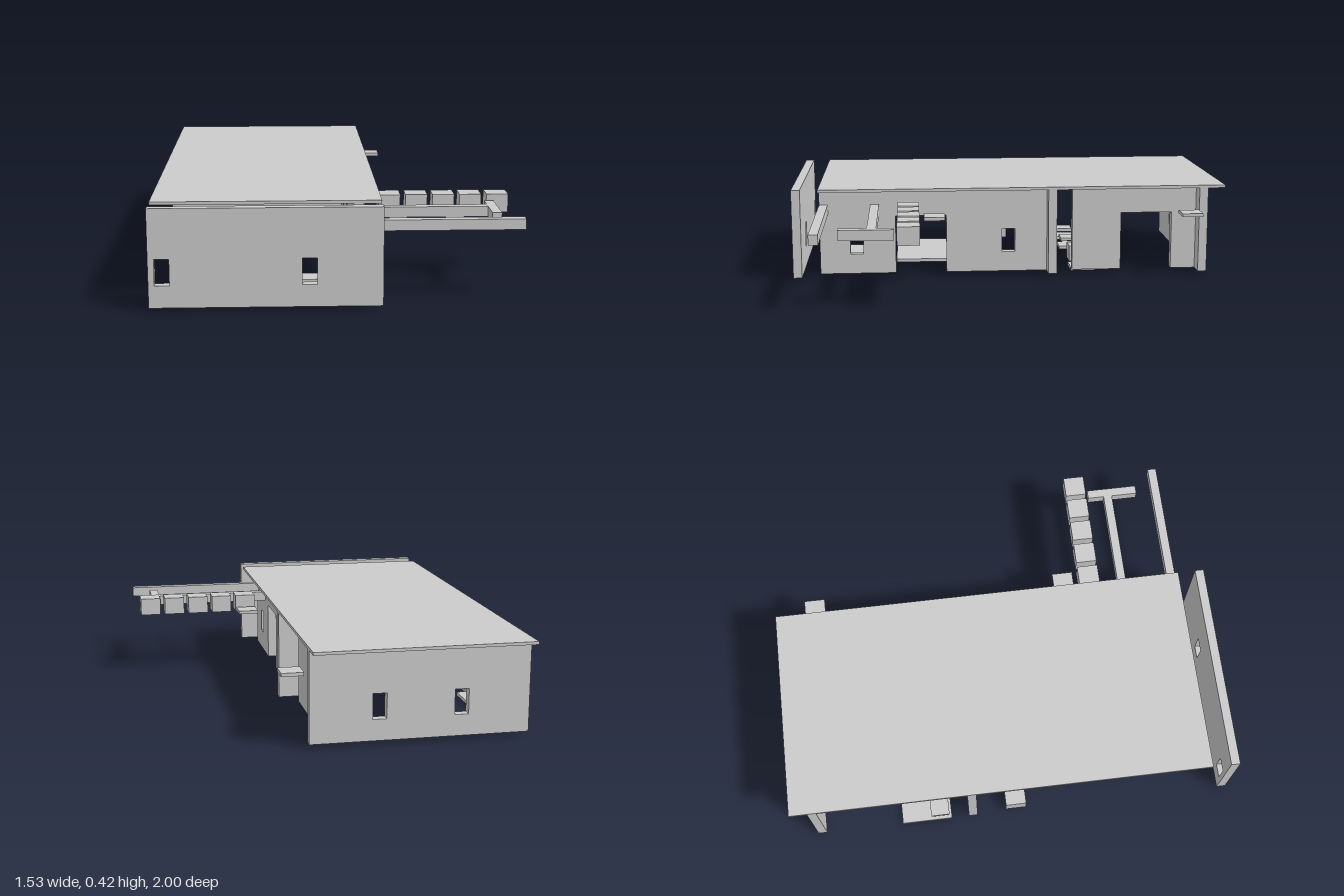
import * as THREE from 'three';

export function createModel() {
  const model = new THREE.Group();
  model.name = 'building';
  const grey = new THREE.MeshStandardMaterial({ color: 0xcccccc });
  grey.name = 'plain grey';

  // Box given by its limits on each axis
  function block(name, x0, x1, y0, y1, z0, z1) {
    const mesh = new THREE.Mesh(new THREE.BoxGeometry(x1 - x0, y1 - y0, z1 - z0), grey);
    mesh.name = name;
    mesh.position.set((x0 + x1) / 2, (y0 + y1) / 2, (z0 + z1) / 2);
    model.add(mesh);
    return mesh;
  }

  // Upright wall in the XY plane; doors are notches, windows are holes [from, to]
  const BASE = 0.015, TOP = 0.41, THICK = 0.04;
  function wallGeometry(a, b, top, windows, door) {
    const points = [[a, BASE]];
    if (door) points.push([door[0], BASE], [door[0], 0.285], [door[1], 0.285], [door[1], BASE]);
    points.push([b, BASE], [b, top], [a, top]);
    const shape = new THREE.Shape(points.map(p => new THREE.Vector2(...p)));
    for (const [u, v] of windows) {
      shape.holes.push(new THREE.Path(
        [[u, 0.107], [u, 0.217], [v, 0.217], [v, 0.107]].map(p => new THREE.Vector2(...p))));
    }
    return new THREE.ExtrudeGeometry(shape, { depth: THICK, bevelEnabled: false });
  }
  function crossWall(name, z, top, windows) {
    const mesh = new THREE.Mesh(wallGeometry(-0.765, 0.175, top, windows), grey);
    mesh.name = name;
    mesh.position.z = z;
    model.add(mesh);
  }
  // Side walls: shape coordinate runs along -z
  function sideWall(name, from, to, windows, door) {
    const mesh = new THREE.Mesh(wallGeometry(from, to, TOP, windows, door), grey);
    mesh.name = name;
    mesh.rotation.y = Math.PI / 2;
    mesh.position.x = 0.06;
    model.add(mesh);
  }

  // Roof and walls
  block('roof', -0.765, 0.175, TOP, 0.423, -1, 0.88);
  crossWall('frontWall', 0.96, 0.423, [[-0.74, -0.68], [-0.15, -0.09]]);
  crossWall('partitionWall', -0.215, TOP, []);
  crossWall('backWall', -0.92, TOP, [[-0.5, -0.44], [-0.15, -0.09]]);
  sideWall('frontSideWall', -0.88, 0.175, [[-0.74, -0.68], [-0.035, 0.025]], [-0.53, -0.295]);
  sideWall('backSideWall', 0.295, 0.88, [], [0.525, 0.765]);

  // Porch beams
  block('longBeam', -0.18, 0.765, 0.295, 0.34, 0.84, 0.88);
  block('shortBeam', 0.1, 0.645, 0.295, 0.34, 0.605, 0.645);
  block('crossBeam', 0.645, 0.685, 0.295, 0.34, 0.53, 0.765);

  // Row of hanging cubes
  for (let i = 0; i < 5; i++) {
    const x = 0.187 + i * 0.1175;
    block('porchCube', x, x + 0.095, 0.285, 0.365, 0.422, 0.518);
  }

  // Small ledges beside the doors
  for (const z of [0.305, -0.875]) block('doorLedge', 0.187, 0.282, 0.295, 0.31, z, z + 0.095);

  // Floor plates
  block('largeFloorPlate', -0.65, -0.18, 0, 0.015, 0.065, 0.53);
  block('frontFloorPlate', -0.53, -0.295, 0, 0.015, 0.65, 0.88);
  block('smallFloorPlate', -0.06, 0.055, 0, 0.015, -0.41, -0.295);

  // Two low beds with raised pillows
  for (const x of [-0.765, -0.53]) {
    block('bed', x, x + 0.115, 0, 0.015, -0.525, -0.295);
    block('pillow', x + 0.01, x + 0.105, 0.04, 0.055, -0.39, -0.305);
  }

  // Stools
  for (const [x, z] of [[-0.12, 0.82], [-0.12, -0.35], [-0.707, 0.007]]) {
    block('stool', x - 0.047, x + 0.047, 0.015, 0.09, z - 0.047, z + 0.047);
  }

  return model;
}
